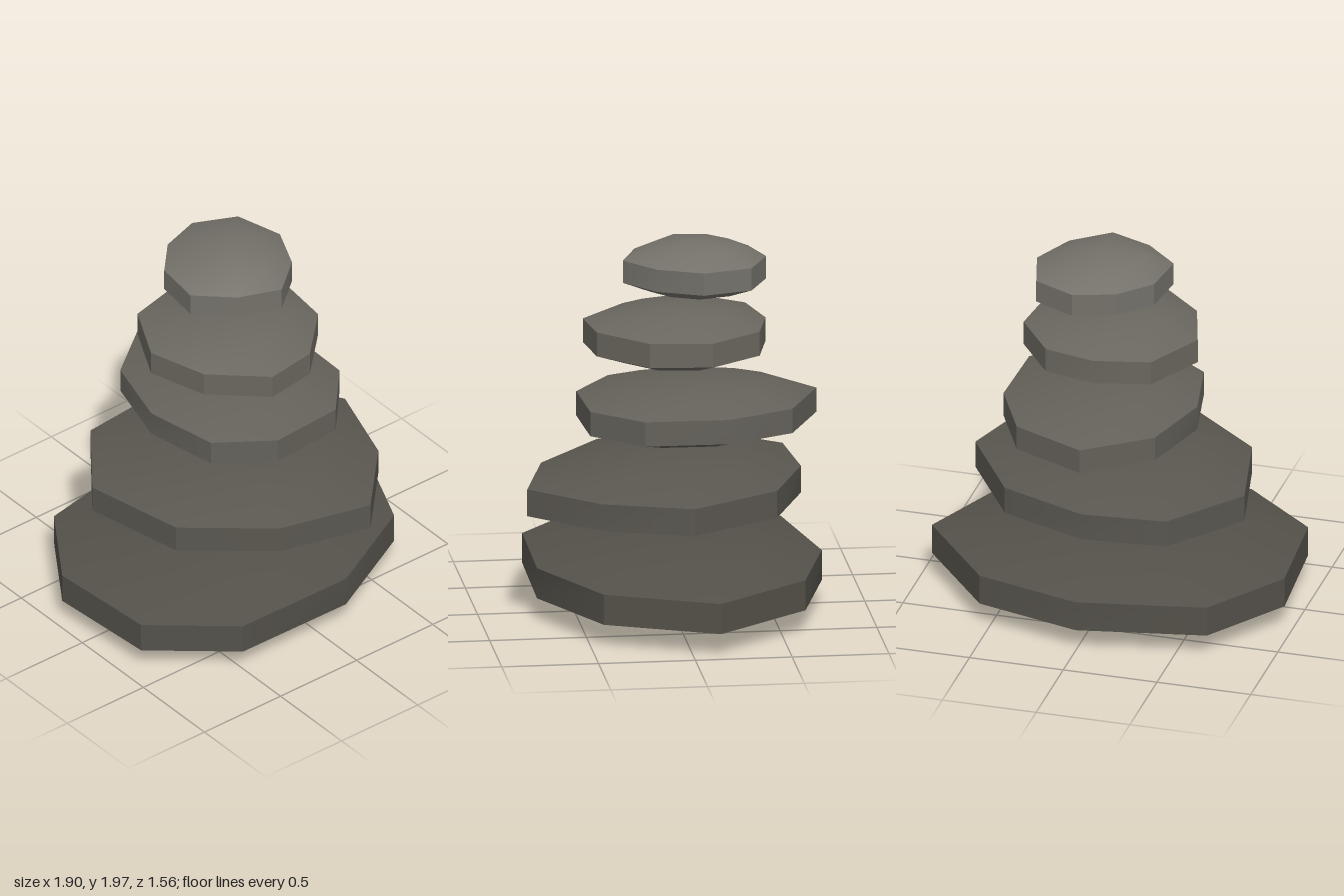
import * as THREE from 'three';
import { toCreasedNormals } from 'three/addons/utils/BufferGeometryUtils.js';

// Each stone: outline corners [x, z], centre, heights (bottom tip, lower ring, wall foot, wall top, upper ring, top tip)
const STONES = [
  { name: 'baseStone', color: 0x54514a, centre: [-0.02, -0.01],
    y: [0.005, 0.045, 0.125, 0.285, 0.36, 0.398],
    outline: [[0.95, -0.14], [0.7, 0.435], [0.16, 0.713], [-0.51, 0.705], [-0.91, 0.37],
      [-0.955, -0.22], [-0.665, -0.65], [0, -0.778], [0.555, -0.625]] },
  { name: 'secondStone', color: 0x5a5750, centre: [0, 0.01],
    y: [0.487, 0.52, 0.595, 0.738, 0.81, 0.845],
    outline: [[0.75, -0.03], [0.6, 0.43], [0.27, 0.777], [-0.22, 0.645], [-0.63, 0.305],
      [-0.745, -0.235], [-0.44, -0.63], [0, -0.67], [0.46, -0.49]] },
  { name: 'middleStone', color: 0x64615a, centre: [0.04, -0.1],
    y: [0.925, 0.955, 1.018, 1.147, 1.213, 1.242],
    outline: [[0.54, -0.235], [0.53, 0.2], [0.3, 0.455], [-0.1, 0.478], [-0.38, 0.28],
      [-0.457, -0.11], [-0.345, -0.505], [-0.015, -0.752], [0.37, -0.58]] },
  { name: 'fourthStone', color: 0x6a675f, centre: [0, -0.02],
    y: [1.317, 1.343, 1.405, 1.532, 1.592, 1.62],
    outline: [[0.455, -0.16], [0.42, 0.162], [0.17, 0.405], [-0.105, 0.443], [-0.365, 0.205],
      [-0.46, -0.11], [-0.3, -0.42], [-0.01, -0.488], [0.26, -0.425]] },
  { name: 'topStone', color: 0x74716a, centre: [0.045, -0.11],
    y: [1.69, 1.715, 1.772, 1.89, 1.948, 1.975],
    outline: [[0.395, -0.12], [0.29, 0.11], [0.1, 0.262], [-0.12, 0.175], [-0.297, 0.01],
      [-0.265, -0.245], [-0.11, -0.41], [0.105, -0.478], [0.325, -0.375]] },
];

// Ring sizes from the bottom tip to the top tip
const SCALES = [0, 0.62, 1, 1, 0.62, 0];

function stoneGeometry({ outline, centre, y }) {
  const n = outline.length;
  const positions = [];
  const index = [];
  SCALES.forEach((s, r) => {
    for (const [x, z] of outline) {
      positions.push(centre[0] + (x - centre[0]) * s, y[r], centre[1] + (z - centre[1]) * s);
    }
  });
  for (let r = 0; r < SCALES.length - 1; r++) {
    for (let i = 0; i < n; i++) {
      const a = r * n + i;
      const b = r * n + (i + 1) % n;
      if (SCALES[r] > 0) index.push(a, a + n, b);
      if (SCALES[r + 1] > 0) index.push(b, a + n, b + n);
    }
  }
  const geometry = new THREE.BufferGeometry();
  geometry.setAttribute('position', new THREE.Float32BufferAttribute(positions, 3));
  geometry.setIndex(index);
  // Smooth domes, sharp rim and wall corners
  return toCreasedNormals(geometry, THREE.MathUtils.degToRad(29));
}

export function createModel() {
  const group = new THREE.Group();
  group.name = 'stoneStack';
  for (const stone of STONES) {
    const mesh = new THREE.Mesh(
      stoneGeometry(stone),
      new THREE.MeshStandardMaterial({ color: stone.color }),
    );
    mesh.name = stone.name;
    group.add(mesh);
  }
  return group;
}
